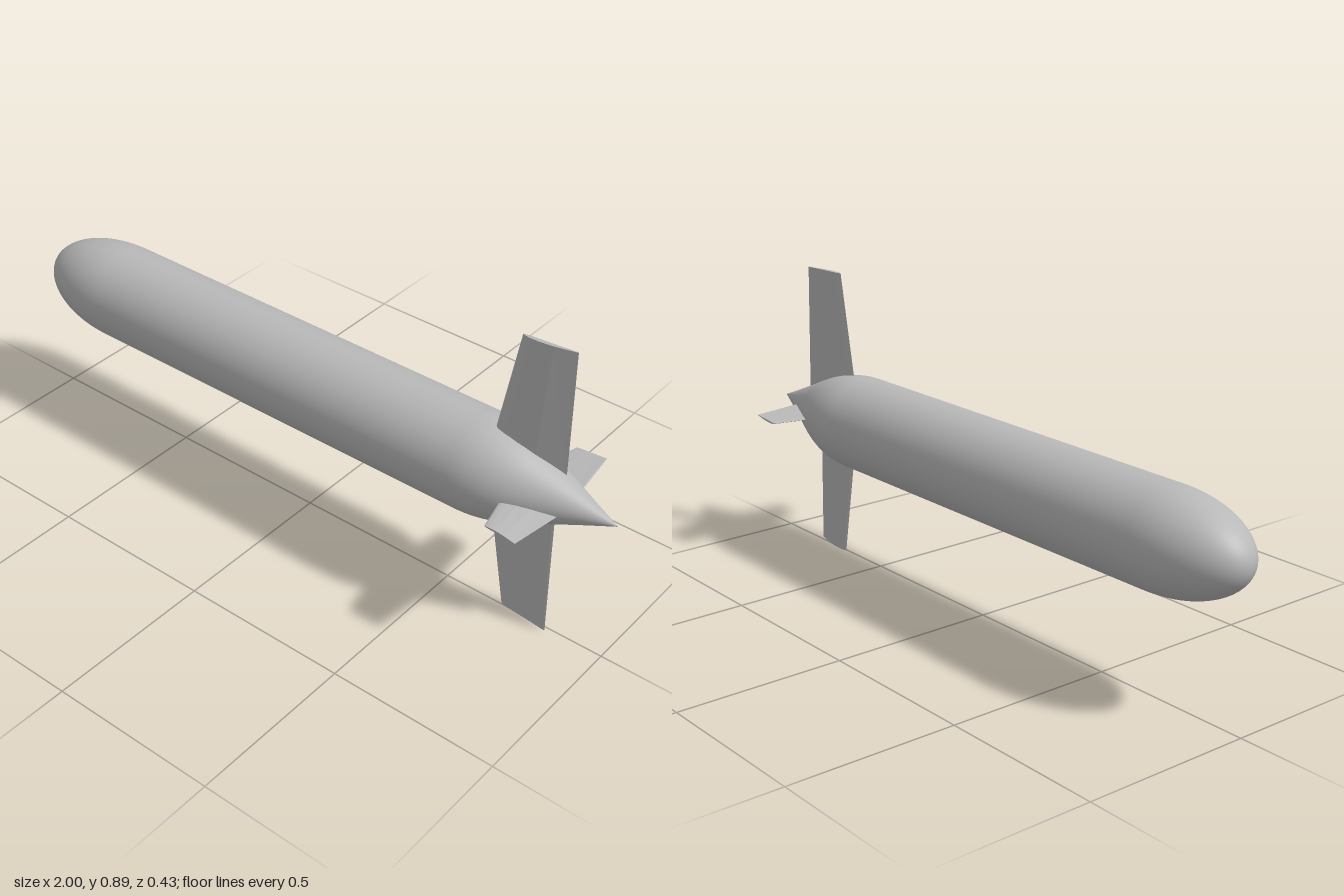
import * as THREE from 'three';

const AXIS_Y = 0.444, RADIUS = 0.142;

// Smooth body of revolution along x: elliptical nose, straight middle, pointed tail
function hullGeometry() {
  const pts = [], noseLength = 0.28;
  for (let i = 0; i <= 20; i++) {
    const a = (i / 20) * Math.PI / 2;
    pts.push(new THREE.Vector2(RADIUS * Math.sin(a), -1 + noseLength * (1 - Math.cos(a))));
  }
  const tail = new THREE.SplineCurve([
    [0.142, 0.57], [0.14, 0.61], [0.132, 0.66], [0.118, 0.71], [0.1, 0.757],
    [0.066, 0.838], [0.034, 0.915], [0, 1],
  ].map(([r, x]) => new THREE.Vector2(r, x)));
  pts.push(...tail.getPoints(28));
  pts[0].x = pts[pts.length - 1].x = 0;
  return new THREE.LatheGeometry(pts, 72).rotateZ(-Math.PI / 2);
}

// Cambered fin section: [fraction of chord, offset]
const SECTION = [
  [0, 0.004], [0.04, 0.01], [0.15, 0.013], [0.35, 0.012], [0.6, 0.004], [1, -0.019],
  [0.97, -0.021], [0.6, -0.012], [0.35, -0.007], [0.12, -0.002],
];

// Tapered fin standing along +y, edges given as [x at root, x at tip]
function finGeometry({ lead, trail, span, thick, side }) {
  const shape = new THREE.Shape(SECTION.map(([u, t]) => new THREE.Vector2(u, -t * side)));
  const geo = new THREE.ExtrudeGeometry(shape, { depth: 1, bevelEnabled: false });
  const p = geo.attributes.position, mix = THREE.MathUtils.lerp;
  for (let i = 0; i < p.count; i++) {
    const s = p.getZ(i);
    const x = mix(mix(lead[0], lead[1], s), mix(trail[0], trail[1], s), p.getX(i));
    p.setXYZ(i, x, mix(span[0], span[1], s), -p.getY(i) * mix(thick[0], thick[1], s));
  }
  geo.computeVertexNormals();
  return geo;
}

export function createModel() {
  const group = new THREE.Group();
  const grey = new THREE.MeshStandardMaterial({ color: 0xb8b8b8 });
  grey.name = 'hullGrey';

  const add = (name, geo, turn = 0) => {
    const mesh = new THREE.Mesh(geo, grey);
    mesh.name = name;
    mesh.position.y = AXIS_Y;
    mesh.rotation.x = turn;
    group.add(mesh);
  };

  add('hull', hullGeometry());

  // Tall rudders above and below
  const rudder = finGeometry({
    lead: [0.605, 0.68], trail: [0.83, 0.83], span: [0.03, 0.444], thick: [1.02, 0.66], side: 1,
  });
  add('upperFin', rudder, 0);
  add('lowerFin', rudder, Math.PI);

  // Short horizontal fins on both sides
  const plane = finGeometry({
    lead: [0.695, 0.742], trail: [0.862, 0.835], span: [0.02, 0.213], thick: [0.4, 0.32], side: -1,
  });
  add('frontFin', plane, Math.PI / 2);
  add('backFin', plane, -Math.PI / 2);

  return group;
}
